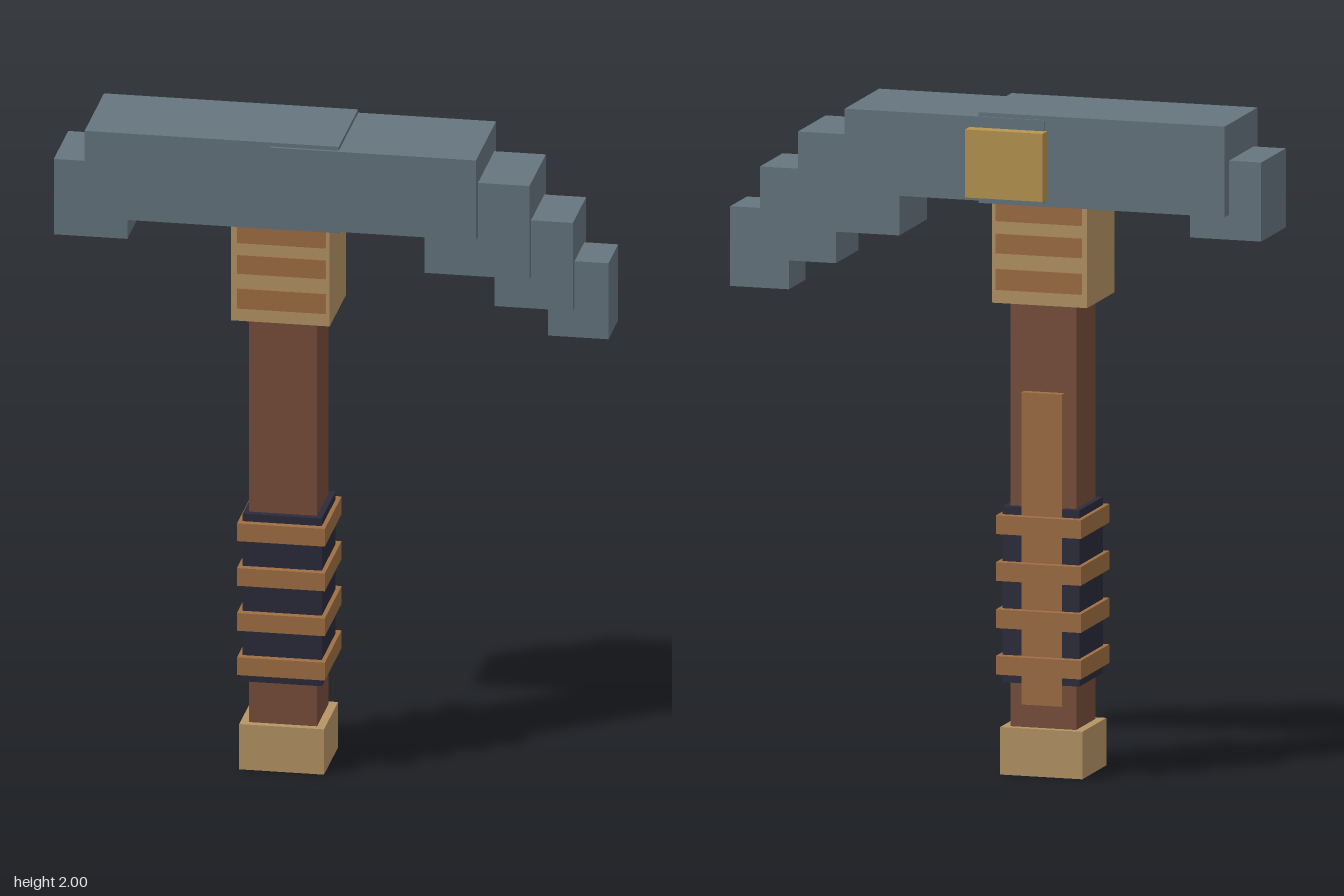
import * as THREE from 'three';

const material = (name, color) => {
  const m = new THREE.MeshStandardMaterial({ color });
  m.name = name;
  return m;
};

export function createModel() {
  const steel = material('blue grey steel', 0x65757f);
  const wood = material('red brown wood', 0x794e3b);
  const tan = material('tan', 0xb69565);
  const leather = material('orange leather', 0xa06f43);
  const cloth = material('dark cloth', 0x2b2b3c);
  const gold = material('gold', 0xb99650);

  const model = new THREE.Group();
  model.name = 'pickaxe';

  // Box given by its extents along each axis
  const box = (name, mat, [x0, x1], [y0, y1], [z0, z1]) => {
    const mesh = new THREE.Mesh(new THREE.BoxGeometry(x1 - x0, y1 - y0, z1 - z0), mat);
    mesh.position.set((x0 + x1) / 2, (y0 + y1) / 2, (z0 + z1) / 2);
    mesh.name = name;
    model.add(mesh);
  };

  // Handle
  box('pommel', tan, [-0.275, -0.02], [0, 0.143], [-0.095, 0.14]);
  box('shaft', wood, [-0.249, -0.045], [0.13, 1.44], [-0.072, 0.118]);
  box('grip', cloth, [-0.265, -0.027], [0.278, 0.808], [-0.093, 0.138]);
  box('backStrap', leather, [-0.212, -0.087], [0.215, 1.155], [-0.097, -0.06]);
  for (const y of [0.305, 0.445, 0.587, 0.728])
    box('gripBand', leather, [-0.278, -0.014], [y, y + 0.056], [-0.119, 0.16]);

  // Collar with thin stripes on front and back
  box('collar', tan, [-0.296, 0], [1.423, 1.76], [-0.114, 0.156]);
  for (const [y0, y1] of [[1.463, 1.526], [1.573, 1.632], [1.67, 1.735]]) {
    box('collarStripeFront', leather, [-0.278, -0.013], [y0, y1], [0.154, 0.161]);
    box('collarStripeBack', leather, [-0.278, -0.013], [y0, y1], [-0.119, -0.112]);
  }

  // Head: two overlapping blocks, a blunt end and a stepped point
  box('headBluntHalf', steel, [-0.733, 0.031], [1.727, 2], [-0.145, 0.177]);
  box('headPointedHalf', steel, [-0.175, 0.445], [1.735, 1.988], [-0.15, 0.186]);
  box('bluntTip', steel, [-0.833, -0.612], [1.652, 1.89], [-0.103, 0.137]);
  box('pointStepUpper', steel, [0.285, 0.6], [1.61, 1.905], [-0.12, 0.152]);
  box('pointStepMiddle', steel, [0.49, 0.726], [1.51, 1.788], [-0.094, 0.128]);
  box('pointTip', steel, [0.646, 0.828], [1.417, 1.657], [-0.063, 0.1]);
  box('backPlate', gold, [-0.182, 0.058], [1.75, 1.955], [-0.191, -0.14]);

  return model;
}
